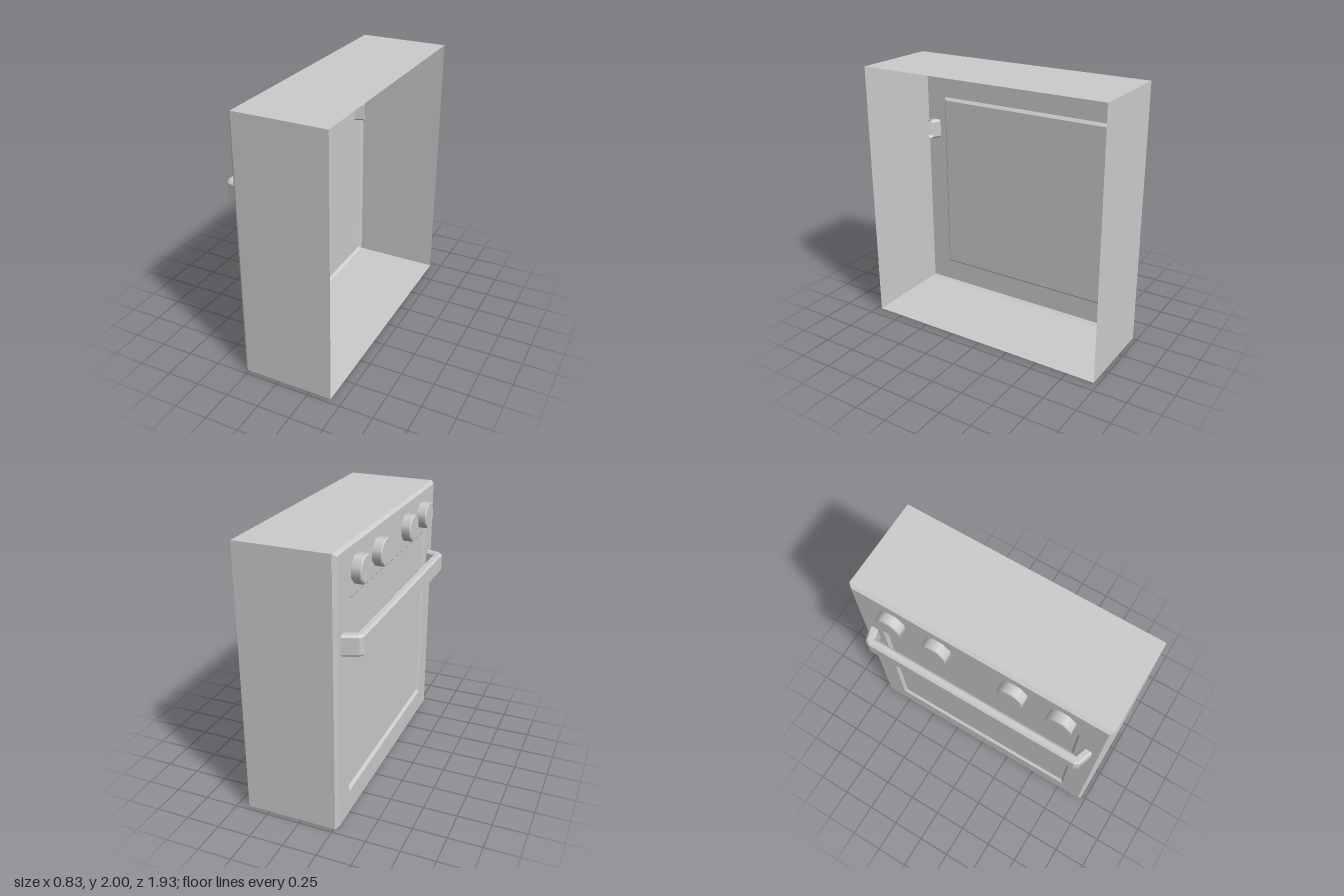
import * as THREE from 'three';

const material = new THREE.MeshStandardMaterial({ color: 0xcccccc, side: THREE.DoubleSide });

// Joins successive loops of points with flat quads; optionally closes the last loop.
function loft(loops, capEnd) {
  const pos = [];
  const tri = (...pts) => pts.forEach((p) => pos.push(...p));
  for (let i = 0; i < loops.length - 1; i++) {
    const A = loops[i], B = loops[i + 1], n = A.length;
    for (let j = 0; j < n; j++) {
      const k = (j + 1) % n;
      tri(A[j], A[k], B[j]);
      tri(A[k], B[k], B[j]);
    }
  }
  if (capEnd) {
    const L = loops[loops.length - 1];
    for (let j = 1; j < L.length - 1; j++) tri(L[0], L[j], L[j + 1]);
  }
  const g = new THREE.BufferGeometry();
  g.setAttribute('position', new THREE.Float32BufferAttribute(pos, 3));
  g.computeVertexNormals();
  return g;
}

function add(parent, name, geometry) {
  const mesh = new THREE.Mesh(geometry, material);
  mesh.name = name;
  parent.add(mesh);
  return mesh;
}

// Rectangle in the plane of the door
const rect = (x, z, y0, y1) => [[x, y0, z], [x, y1, z], [x, y1, -z], [x, y0, -z]];

// Chamfered bar section swept with mitres along a path in the xz plane
function handleGeometry() {
  const half = [[-0.22, 0.885], [-0.373, 0.832], [-0.3825, 0.818]];
  const path = [...half, ...half.map(([x, z]) => [x, -z]).reverse()]
    .map(([x, z]) => new THREE.Vector2(x, z));
  const t = 0.0325, h = 0.075, c = 0.015;
  const section = [[t, c - h], [t, h - c], [t - c, h], [c - t, h],
    [-t, h - c], [-t, c - h], [c - t, -h], [t - c, -h]];
  const loops = path.map((p, i) => {
    const before = path[Math.max(i - 1, 0)], after = path[Math.min(i + 1, path.length - 1)];
    const d1 = p.clone().sub(before).normalize();
    const d2 = after.clone().sub(p).normalize();
    const d = d1.clone().add(d2).normalize();
    const mitre = 1 / d.dot(i < path.length - 1 ? d2 : d1);
    return section.map(([u, v]) => [p.x + d.y * u * mitre, 1.38 + v, p.y - d.x * u * mitre]);
  });
  return loft(loops, false);
}

export function createModel() {
  const model = new THREE.Group();
  model.name = 'oven';

  // Hollow casing, open on the +x side, with a bevelled face and recessed door
  add(model, 'casing', loft([
    rect(0.415, 0.965, 0, 2),
    rect(-0.262, 0.965, 0, 2),
    rect(-0.285, 0.943, 0.02, 1.98),
  ], false));
  add(model, 'doorPanel', loft([
    rect(-0.285, 0.943, 0.02, 1.98),
    rect(-0.285, 0.777, 0.196, 1.65),
    rect(-0.265, 0.757, 0.216, 1.627),
  ], true));

  add(model, 'handle', handleGeometry());

  // Four control knobs
  const r = 0.1, rim = 0.008, depth = 0.07;
  for (const z of [-0.64, -0.287, 0.287, 0.64]) {
    const knob = new THREE.Group();
    knob.name = 'knob';
    add(knob, 'knobSide', new THREE.CylinderGeometry(r, r, depth - rim, 8, 1, true, Math.PI / 8))
      .position.y = (depth - rim) / 2;
    add(knob, 'knobFace', new THREE.CylinderGeometry(r - rim, r, rim, 8, 1, true, Math.PI / 8))
      .position.y = depth - rim / 2;
    const cap = add(knob, 'knobCap', new THREE.CircleGeometry(r - rim, 8, Math.PI / 8));
    cap.rotation.x = -Math.PI / 2;
    cap.position.y = depth;
    knob.rotation.z = Math.PI / 2;
    knob.position.set(-0.285, 1.812, z);
    model.add(knob);
  }
  return model;
}
